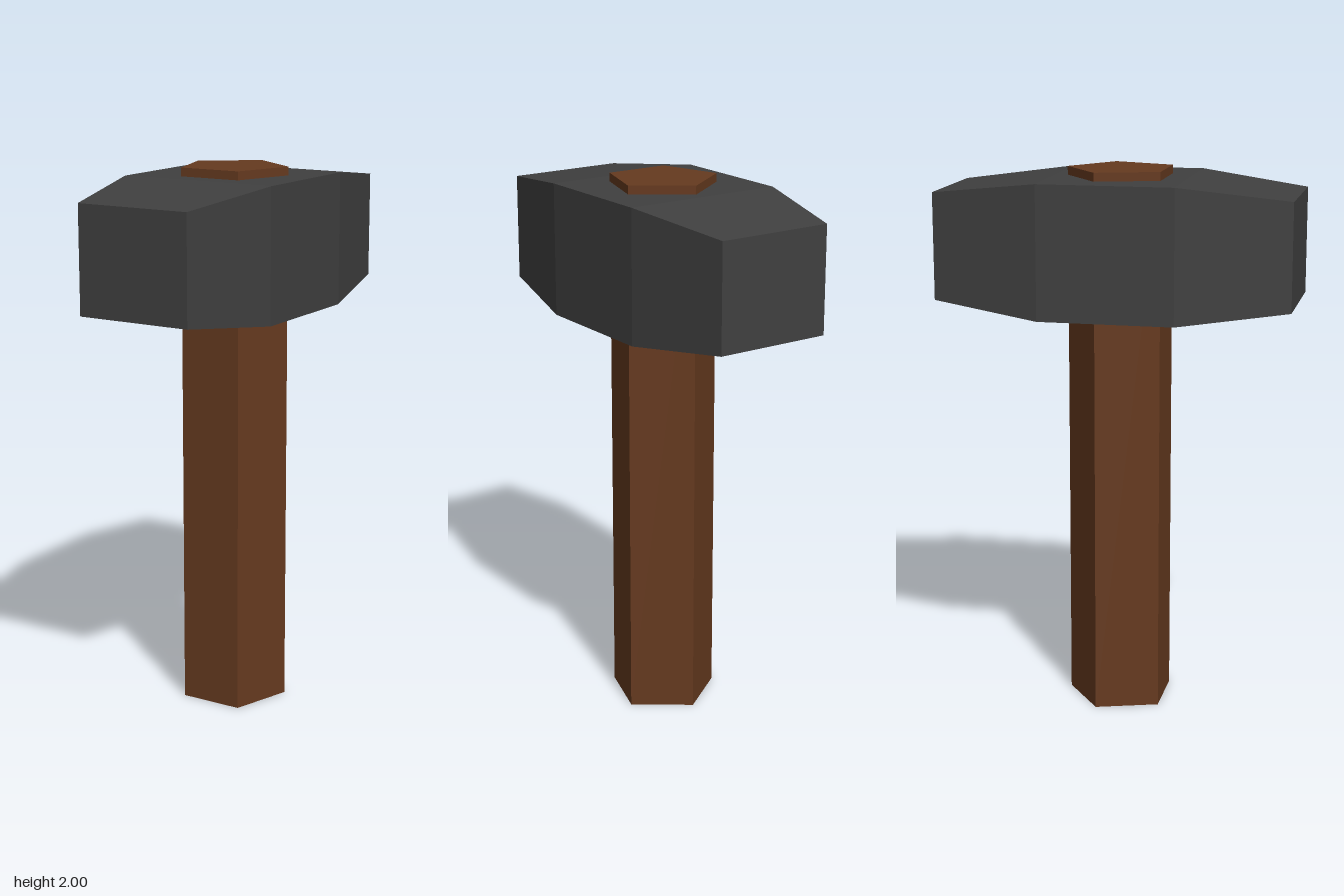
import * as THREE from 'three';

const HEAD_Y = 1.728; // height of the head's centre

// Box in three sections along z: full width in the middle, tapering to both faces
function taperedHead() {
  const geo = new THREE.BoxGeometry(0.6, 0.482, 1.284, 1, 1, 3);
  const pos = geo.attributes.position;
  for (let i = 0; i < pos.count; i++) {
    const z = pos.getZ(i);
    if (Math.abs(z) > 0.5) {
      pos.setX(i, Math.sign(pos.getX(i)) * 0.217);
      pos.setY(i, Math.sign(pos.getY(i)) * 0.193);
    } else {
      pos.setZ(i, Math.sign(z) * 0.245);
    }
  }
  geo.computeVertexNormals();
  return geo;
}

export function createModel() {
  const model = new THREE.Group();
  model.name = 'hammer';

  const wood = new THREE.MeshStandardMaterial({ color: 0x663a1f, flatShading: true });
  const iron = new THREE.MeshStandardMaterial({ color: 0x404040, flatShading: true });

  // Five-sided handle, one edge to the back, running through the head
  const handle = new THREE.Mesh(new THREE.CylinderGeometry(0.2, 0.2, 2, 5), wood);
  handle.name = 'handle';
  handle.rotation.y = Math.PI;
  handle.position.y = 1;
  model.add(handle);

  // Double-faced head
  const head = new THREE.Mesh(taperedHead(), iron);
  head.name = 'head';
  head.position.y = HEAD_Y;
  model.add(head);

  return model;
}
